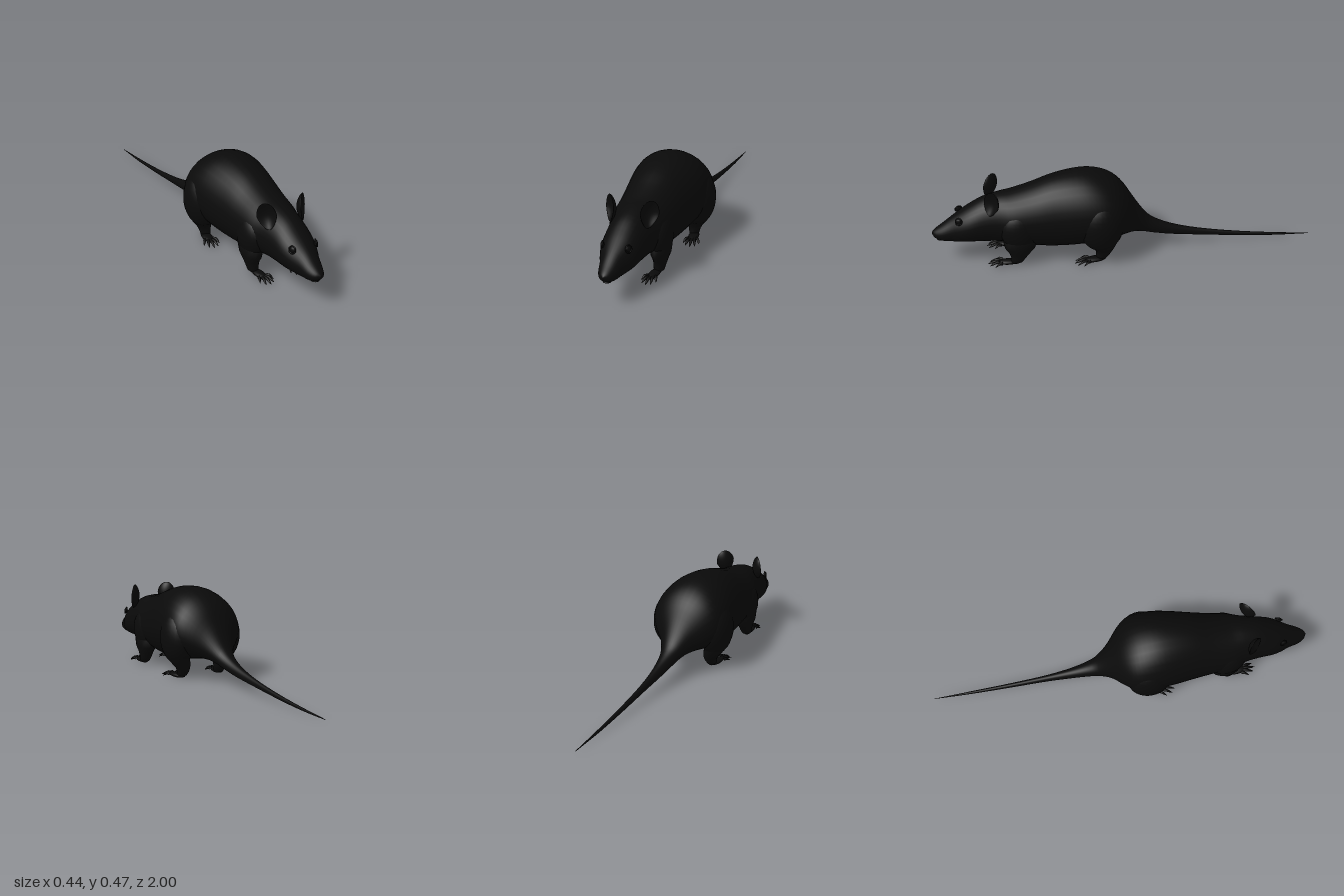
import * as THREE from 'three';

const fur = new THREE.MeshStandardMaterial({ color: 0x0a0a0a });
fur.name = 'black fur';

function part(name, geometry, parent) {
  const m = new THREE.Mesh(geometry, fur);
  m.name = name;
  parent.add(m);
  return m;
}

// Smooth skin over a list of equal-length closed rings
function loft(rings) {
  const n = rings[0].length, pos = rings.flat(2), idx = [];
  for (let i = 0; i < rings.length - 1; i++) {
    for (let j = 0; j < n; j++) {
      const a = i * n + j, b = i * n + (j + 1) % n;
      idx.push(a, a + n, b, b, a + n, b + n);
    }
  }
  const g = new THREE.BufferGeometry();
  g.setAttribute('position', new THREE.Float32BufferAttribute(pos, 3));
  g.setIndex(idx);
  g.computeVertexNormals();
  return g;
}

const ring = (n, fn) => Array.from({ length: n }, (_, j) => fn(j / n * Math.PI * 2));

// Ellipsoid with given centre and radii
function blob(name, parent, c, r) {
  const m = part(name, new THREE.SphereGeometry(1, 24, 16), parent);
  m.position.set(...c);
  m.scale.set(...r);
  return m;
}

// Body sections from nose to tail tip: z, top, bottom, half width
const SECTIONS = [
  [1.0, .165, .155, .003], [.985, .18, .136, .027], [.95, .205, .12, .047],
  [.9, .243, .115, .062], [.85, .278, .115, .085], [.8, .31, .115, .1],
  [.73, .348, .113, .108], [.65, .37, .11, .122], [.58, .381, .1, .145],
  [.48, .41, .082, .158], [.38, .446, .072, .172], [.28, .467, .075, .19],
  [.19, .471, .085, .202], [.11, .453, .098, .203], [.05, .42, .11, .188],
  [0, .37, .116, .148], [-.05, .292, .112, .095], [-.1, .218, .1, .062],
  [-.15, .168, .085, .044], [-.25, .122, .064, .028], [-.4, .083, .045, .016],
  [-.6, .049, .025, .011], [-.8, .025, .01, .007], [-1, .007, .004, .001],
];

function bodyGeometry() {
  const outline = new THREE.CatmullRomCurve3(
    SECTIONS.map(([z, t, b]) => new THREE.Vector3(z, t, b)), false, 'catmullrom', .5);
  const width = new THREE.CatmullRomCurve3(
    SECTIONS.map(([z, , , w]) => new THREE.Vector3(z, w, 0)), false, 'catmullrom', .5);
  const steps = (SECTIONS.length - 1) * 3;
  const rings = [];
  for (let i = 0; i <= steps; i++) {
    const { x: z, y: top, z: bottom } = outline.getPoint(i / steps);
    const w = width.getPoint(i / steps).y;
    const mid = bottom + (top - bottom) * .44;
    rings.push(ring(32, a => {
      const s = Math.sin(a), c = Math.cos(a);
      // fuller cheeks and belly below the widest line
      return s >= 0
        ? [w * c, mid + (top - mid) * s, z]
        : [w * Math.sign(c) * Math.abs(c) ** .85, mid + (mid - bottom) * s, z];
    }));
  }
  return loft(rings);
}

// Leg sections from top to bottom: x, y, z, x radius, z radius
function limb(rows) {
  return loft(rows.map(([x, y, z, rx, rz]) =>
    ring(16, a => [x + rx * Math.cos(a), y, z - rz * Math.sin(a)])));
}

// Flat paw with tapered clawed toes, pointing along +z
function paw(name, parent, length, width, toeLength) {
  const foot = new THREE.Group();
  foot.name = name;
  blob('sole', foot, [0, .013, length * .42], [width * .5, .013, length * .56]);
  for (let i = 0; i < 5; i++) {
    const k = i / 2 - 1;
    const len = toeLength * (1 - .3 * k * k);
    const base = new THREE.Vector3(k * width * .42, .015, length * (.86 - .16 * k * k));
    const dir = new THREE.Vector3(k * .45, 0, 1).normalize();
    const at = (d, y) => base.clone().addScaledVector(dir, d * len).setY(y);
    const path = [at(0, .014), at(.4, .018), at(.7, .011), at(1, .003)];
    const radius = [.009, .008, .006, .0008];
    part('toe', loft(path.map((p, q) => ring(8, a => [
      p.x - radius[q] * Math.cos(a), p.y + radius[q] * Math.sin(a) * .9, p.z,
    ]))), foot);
  }
  parent.add(foot);
  return foot;
}

// Rounded ear, hollowed on its front face
function earGeometry() {
  const g = new THREE.SphereGeometry(1, 28, 20);
  const p = g.attributes.position;
  for (let i = 0; i < p.count; i++) {
    const x = p.getX(i), y = p.getY(i), z = p.getZ(i);
    const r2 = x * x + y * y;
    const taper = y < 0 ? 1 + y * .35 : 1;
    const dish = z > 0 ? -.024 * (1 - r2) : -.012 * (1 - r2);
    p.setXYZ(i, x * .05 * taper, y * .068, z * .012 + dish + r2 * .006);
  }
  g.computeVertexNormals();
  return g;
}

export function createModel() {
  const model = new THREE.Group();
  model.name = 'rat';
  part('bodyAndTail', bodyGeometry(), model);
  blob('nose', model, [0, .16, .982], [.017, .014, .017]);
  blob('lowerLip', model, [0, .124, .952], [.022, .008, .025]);

  for (const s of [1, -1]) {
    const side = s > 0 ? 'left' : 'right';

    // Head details
    const ear = part(side + 'Ear', earGeometry(), model);
    ear.position.set(s * .098, .362, .685);
    ear.rotation.set(-.1, s * .8, -s * .22, 'YXZ');
    const eye = blob(side + 'Eye', model, [s * .066, .255, .858], [.009, .016, .017]);
    eye.rotation.y = -s * .35;
    const brow = part(side + 'Eyelid', new THREE.TorusGeometry(.017, .004, 8, 20), model);
    brow.position.set(s * .068, .255, .858);
    brow.rotation.set(-.25, s * 1.15, 0, 'YXZ');

    // Shoulder and front leg
    blob(side + 'Shoulder', model, [s * .1, .2, .55], [.06, .11, .1]);
    part(side + 'FrontLeg', limb([
      [s * .1, .2, .545, .03, .06], [s * .102, .14, .55, .05, .088],
      [s * .103, .1, .552, .045, .078], [s * .102, .07, .555, .036, .055],
      [s * .1, .04, .562, .03, .039], [s * .1, .018, .572, .026, .032],
      [s * .1, .006, .578, .012, .018],
    ]), model);
    const hand = paw(side + 'FrontPaw', model, .1, .05, .062);
    hand.position.set(s * .095, 0, .575);
    hand.rotation.y = -s * .04;

    // Haunch and hind leg
    blob(side + 'Haunch', model, [s * .135, .22, .135], [.087, .145, .115]);
    part(side + 'HindLeg', limb([
      [s * .14, .18, .14, .065, .1], [s * .14, .125, .135, .059, .083],
      [s * .127, .09, .125, .05, .062], [s * .115, .06, .118, .037, .043],
      [s * .112, .035, .125, .029, .036], [s * .114, .016, .135, .024, .03],
      [s * .115, .005, .14, .012, .018],
    ]), model);
    const foot = paw(side + 'HindPaw', model, .105, .054, .065);
    foot.position.set(s * .115, 0, .123);
    foot.rotation.y = s * .17;
  }
  return model;
}
